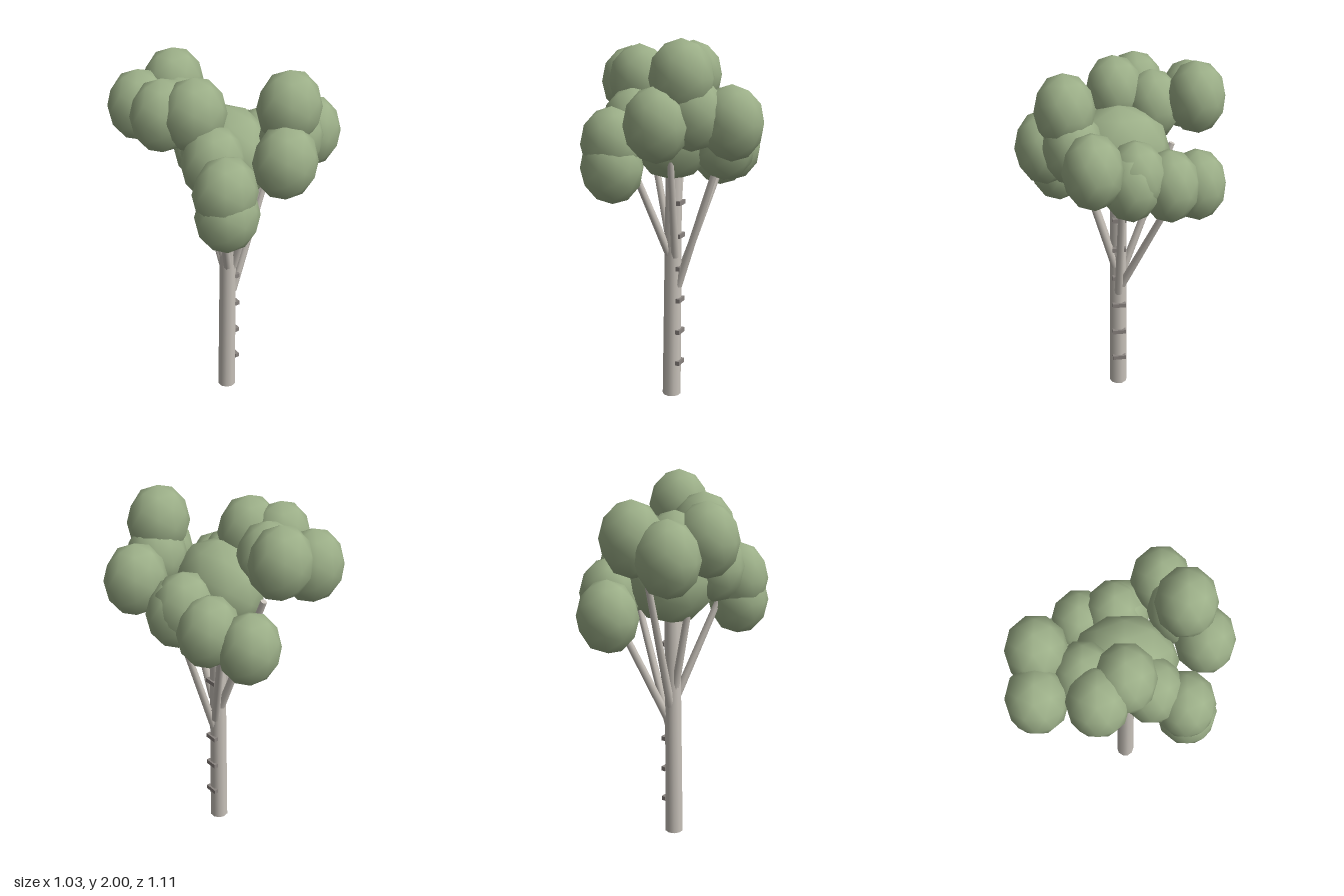
import * as THREE from 'three';

export function createModel() {
  const tree = new THREE.Group();
  tree.name = 'tree';

  const mat = (name, color) => {
    const m = new THREE.MeshStandardMaterial({ color });
    m.name = name;
    return m;
  };
  const bark = mat('pale bark', 0xc8c2ba);
  const darkBark = mat('bark marks', 0x8a8480);
  const leaf = mat('sage leaves', 0x9caf88);

  const add = (name, geometry, material) => {
    const mesh = new THREE.Mesh(geometry, material);
    mesh.name = name;
    tree.add(mesh);
    return mesh;
  };

  // tapered round limb between two points
  const UP = new THREE.Vector3(0, 1, 0);
  const limb = (name, from, to, r0, r1, sides) => {
    const a = new THREE.Vector3(...from);
    const d = new THREE.Vector3(...to).sub(a);
    const mesh = add(name, new THREE.CylinderGeometry(r1, r0, d.length(), sides), bark);
    mesh.position.copy(a).addScaledVector(d, 0.5);
    mesh.quaternion.setFromUnitVectors(UP, d.normalize());
    return mesh;
  };

  // trunk, leaning slightly
  limb('trunk', [-0.061, 0, 0.016], [-0.042, 1.45, 0.016], 0.051, 0.043, 10);

  // branches fanning out from the upper trunk
  const branches = [
    [[-0.03, 0.81, 0.035], [0.025, 1.5, 0.235]],
    [[-0.06, 0.8, 0.03], [-0.235, 1.4, 0.21]],
    [[-0.02, 0.64, 0.018], [0.23, 1.4, 0.03]],
    [[-0.02, 0.69, 0.0], [0.16, 1.4, -0.29]],
    [[-0.05, 0.74, 0.0], [-0.11, 1.5, -0.28]],
    [[-0.06, 0.82, 0.01], [-0.21, 1.5, -0.03]],
  ];
  branches.forEach(([a, b], i) => limb('branch' + (i + 1), a, b, 0.023, 0.017, 8));

  // short dark marks up one side of the trunk
  for (let i = 0; i < 6; i++) {
    const y = 0.195 + i * 0.183;
    const mark = add('barkMark' + (i + 1), new THREE.BoxGeometry(0.024, 0.024, 0.074), darkBark);
    mark.position.set(-0.0135 + y * 0.008, y, 0.016);
  }

  // foliage: one large central clump and smaller clumps around it
  const ball = new THREE.IcosahedronGeometry(1, 1);
  const core = add('foliageCore', ball, leaf);
  core.position.set(-0.05, 1.49, 0.01);
  core.scale.set(0.225, 0.26, 0.27);

  const clumps = [
    [0.12, 1.805, 0.3], [0.345, 1.58, 0.19], [0.025, 1.58, 0.4], [0.16, 1.63, 0.27],
    [-0.265, 1.455, 0.305], [-0.262, 1.335, 0.318], [-0.22, 1.54, 0.14],
    [-0.243, 1.755, 0.01], [-0.35, 1.735, -0.115], [-0.205, 1.685, -0.185],
    [-0.318, 1.685, -0.4], [-0.105, 1.755, -0.402], [0.068, 1.335, -0.387],
    [0.192, 1.4, -0.217], [0.215, 1.47, -0.04], [0.232, 1.44, -0.012],
  ];
  clumps.forEach((p, i) => {
    const clump = add('foliage' + (i + 1), ball, leaf);
    clump.position.set(...p);
    clump.scale.set(0.168, 0.194, 0.153);
  });

  return tree;
}
